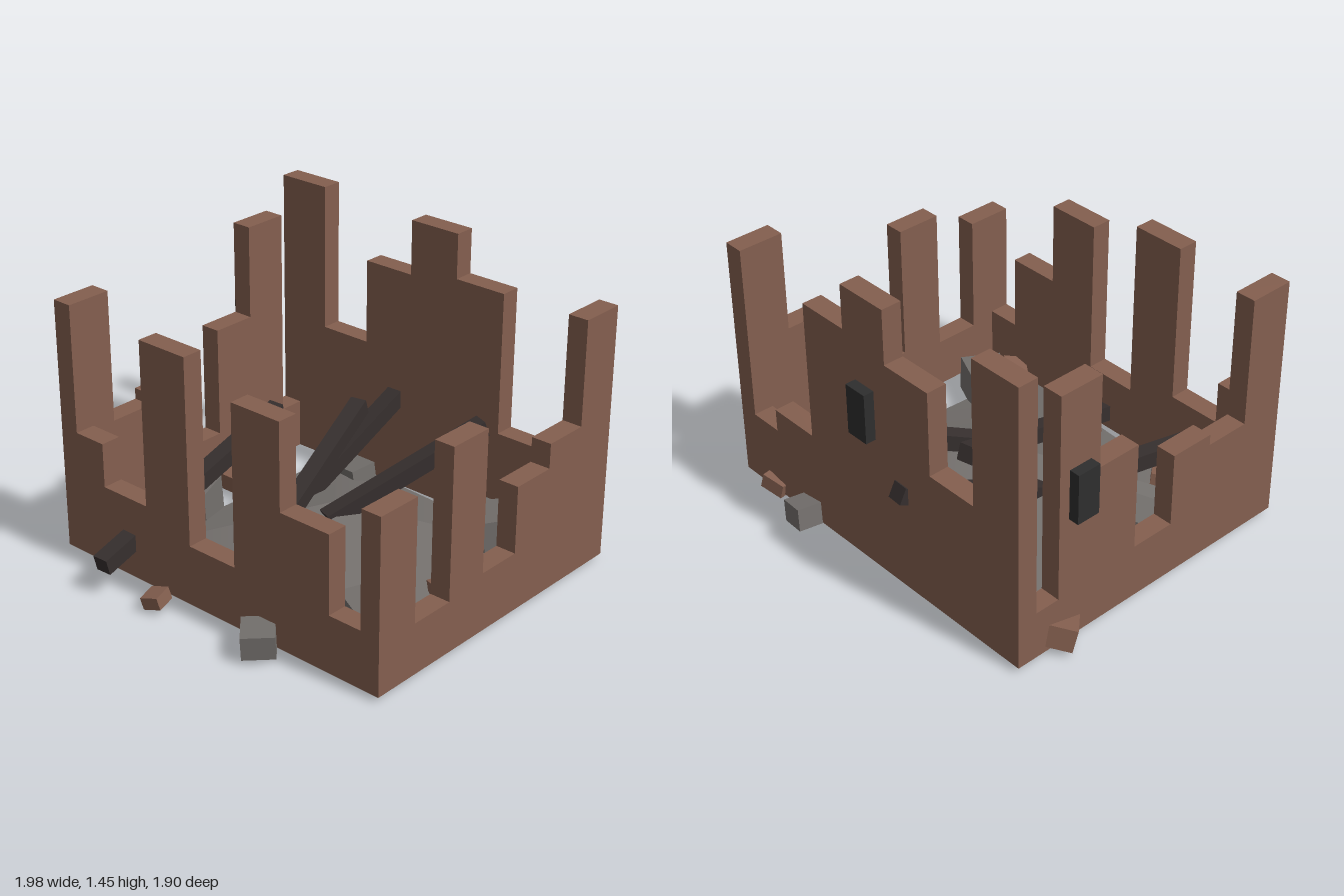
import * as THREE from 'three';

const mat = (name, color) => {
  const m = new THREE.MeshStandardMaterial({ color });
  m.name = name;
  return m;
};

export function createModel() {
  const root = new THREE.Group();
  root.name = 'ruinedBuilding';
  const brick = mat('brickBrown', 0x845f4f);
  const stone = mat('rubbleGrey', 0x736f6c);
  const wood = mat('charredWood', 0x362f2e);
  const soot = mat('sootBlack', 0x2e2e2e);

  const add = (name, geometry, material, parent = root) => {
    const mesh = new THREE.Mesh(geometry, material);
    mesh.name = name;
    parent.add(mesh);
    return mesh;
  };

  // Broken walls: a stepped outline of equal columns, extruded to the wall thickness
  const BASE = 0.025, THICK = 0.1;
  const steppedWall = (start, end, heights) => {
    const step = (end - start) / heights.length;
    const shape = new THREE.Shape();
    shape.moveTo(end, BASE);
    for (let i = heights.length - 1; i >= 0; i--) {
      shape.lineTo(start + (i + 1) * step, heights[i]);
      shape.lineTo(start + i * step, heights[i]);
    }
    shape.lineTo(start, BASE);
    shape.closePath();
    return new THREE.ExtrudeGeometry(shape, { depth: THICK, bevelEnabled: false });
  };
  const X0 = -0.9, X1 = 0.99, Z0 = -0.83, Z1 = 0.75;
  const walls = new THREE.Group();
  walls.name = 'walls';
  root.add(walls);

  // Front and back walls, columns listed from -x to +x
  add('frontWall', steppedWall(X0, X1, [0.635, 0.42, 1.22, 0.32, 1.10, 0.685, 0.305]), brick, walls)
    .position.z = Z1 - THICK;
  add('backWall', steppedWall(X0, X1, [1.455, 0.73, 1.15, 1.42, 1.20, 0.5, 0.385]), brick, walls)
    .position.z = Z0;

  // Side walls, columns listed from front to back
  const side = (name, x, heights) => {
    const wall = add(name, steppedWall(-Z1, -Z0, heights), brick, walls);
    wall.rotation.y = Math.PI / 2;
    wall.position.x = x;
  };
  side('leftWall', X1 - THICK, [0.865, 0.275, 1.0, 0.315, 0.64, 0.76, 1.265]);
  side('rightWall', X0, [1.255, 0.615, 0.67, 0.3, 0.845, 1.305, 0.27]);

  // Low four-sided rubble mound
  const moundHeight = 0.25;
  add('rubbleMound', new THREE.ConeGeometry(0.945, moundHeight, 4, 1, false, 0.727), stone)
    .position.set(0.05, 0.025 + moundHeight / 2, -0.045);

  // Fallen roof beams, each running between two points
  const beams = new THREE.Group();
  beams.name = 'fallenBeams';
  root.add(beams);
  [
    [[-0.47, 0.155, 0.93], [-0.53, 0.475, -0.28]],
    [[0.085, 0.10, 0.68], [-0.165, 0.55, -0.46]],
    [[0.07, 0.22, 0.04], [0.37, 0.52, -0.72]],
    [[-0.22, 0.08, 0.1], [-0.172, 0.55, -0.855]],
  ].forEach(([a, b], i) => {
    const from = new THREE.Vector3(...a), to = new THREE.Vector3(...b);
    const beam = add(`beam${i + 1}`, new THREE.BoxGeometry(0.08, 0.08, from.distanceTo(to)), wood, beams);
    beam.position.lerpVectors(from, to, 0.5);
    beam.lookAt(to);
  });

  // Scorched boards standing out of the outer wall faces
  add('backBoard', new THREE.BoxGeometry(0.12, 0.25, 0.06), soot).position.set(0.05, 0.855, -0.852);
  add('sideBoard', new THREE.BoxGeometry(0.06, 0.25, 0.12), soot).position.set(-0.922, 0.795, -0.49);

  // Loose debris: position, size, rotation
  const debris = (name, material, list) => {
    const group = new THREE.Group();
    group.name = name;
    root.add(group);
    list.forEach(([pos, size, rot], i) => {
      const block = add(`${name}${i + 1}`, new THREE.BoxGeometry(...size), material, group);
      block.position.set(...pos);
      block.rotation.set(...rot, 'YXZ');
    });
  };
  debris('stoneBlock', stone, [
    [[-0.675, 0.11, 0.155], [0.21, 0.17, 0.2], [0.05, 0.36, 0.04]],
    [[0.65, 0.11, 0.395], [0.25, 0.17, 0.2], [0.06, -0.45, -0.05]],
    [[0.615, 0.14, -0.55], [0.23, 0.18, 0.2], [0.1, -0.7, 0.05]],
    [[0.74, 0.1, -0.59], [0.2, 0.14, 0.16], [0.05, -0.55, 0.05]],
    [[0.485, 0.08, -0.885], [0.13, 0.11, 0.12], [0.05, -0.14, -0.15]],
    [[0.375, 0.08, 0.81], [0.15, 0.11, 0.17], [0.03, 0.74, 0.04]],
    [[-0.27, 0.1, -0.56], [0.13, 0.12, 0.14], [0.08, -0.15, 0.1]],
    [[0.41, 0.09, -0.68], [0.12, 0.1, 0.11], [0.1, 0.6, 0.1]],
  ]);
  debris('brickChunk', brick, [
    [[-0.87, 0.085, -0.58], [0.17, 0.11, 0.17], [0.15, 0.75, 0.22]],
    [[-0.685, 0.09, -0.15], [0.15, 0.1, 0.1], [0.25, 0, 0]],
    [[-0.7, 0.13, -0.25], [0.14, 0.09, 0.1], [0.3, 0.5, 0.2]],
    [[0.76, 0.06, -0.82], [0.12, 0.07, 0.1], [0.1, 0.25, 0.2]],
    [[0.695, 0.08, -0.025], [0.08, 0.08, 0.1], [0.1, -0.5, 0.2]],
    [[0.67, 0.07, 0.6], [0.13, 0.09, 0.11], [0.2, -0.6, 0.1]],
    [[-0.48, 0.09, 0.49], [0.13, 0.09, 0.1], [0.15, 0.7, 0.1]],
    [[0.02, 0.18, 0.395], [0.25, 0.07, 0.07], [0.4, 0.15, 0.1]],
    [[-0.205, 0.06, 0.855], [0.09, 0.06, 0.1], [0.1, 0.25, 0.25]],
  ]);
  return root;
}
